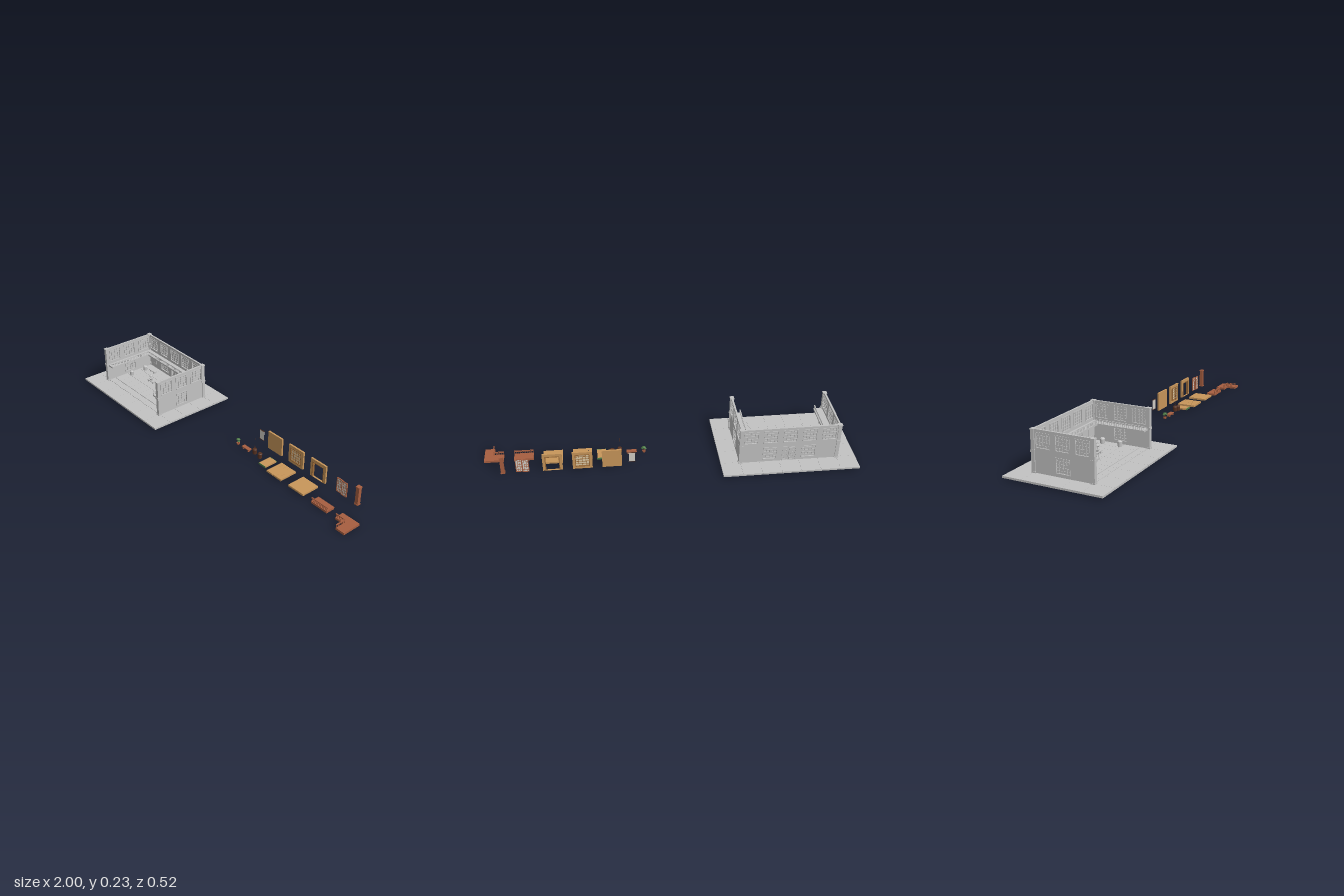
import * as THREE from 'three';

const T = 0.105; // module size of the building kit

function mat(name, color) {
  const m = new THREE.MeshStandardMaterial({ color });
  m.name = name;
  return m;
}

// y is the bottom of each solid
function box(parent, name, m, w, h, d, x, y, z) {
  const b = new THREE.Mesh(new THREE.BoxGeometry(w, h, d), m);
  b.name = name;
  b.position.set(x, y + h / 2, z);
  parent.add(b);
  return b;
}
function cyl(parent, name, m, r1, r2, h, x, y, z, n = 12) {
  const c = new THREE.Mesh(new THREE.CylinderGeometry(r1, r2, h, n), m);
  c.name = name;
  c.position.set(x, y + h / 2, z);
  parent.add(c);
  return c;
}
function part(parent, name, x, y, z, turn = 0) {
  const g = new THREE.Group();
  g.name = name;
  g.position.set(x, y, z);
  g.rotation.y = turn;
  parent.add(g);
  return g;
}

// Square wall panel with an optional rectangular hole [x0, y0, x1, y1]
function panel(parent, m, hole) {
  const s = new THREE.Shape();
  const a = T / 2;
  s.moveTo(-a, 0).lineTo(a, 0).lineTo(a, T).lineTo(-a, T).closePath();
  if (hole) {
    const [x0, y0, x1, y1] = hole;
    const p = new THREE.Path();
    p.moveTo(x0, y0).lineTo(x0, y1).lineTo(x1, y1).lineTo(x1, y0).closePath();
    s.holes.push(p);
  }
  const geo = new THREE.ExtrudeGeometry(s, { depth: 0.01, bevelEnabled: false });
  geo.translate(0, 0, -0.005);
  const w = new THREE.Mesh(geo, m);
  w.name = 'wallPanel';
  parent.add(w);
}

// Lattice of thin bars around a pane
function lattice(g, frame, pane, w, h, y, cols, rows, d) {
  const t = 0.004;
  box(g, 'pane', pane, w - t, h - t, 0.002, 0, y + t / 2, 0);
  for (const s of [-1, 1]) {
    box(g, 'frameSide', frame, t, h, d, s * (w - t) / 2, y, 0);
    box(g, 'frameRail', frame, w, t, d, 0, y + (s > 0 ? h - t : 0), 0);
  }
  for (let i = 1; i < cols; i++) box(g, 'latticeUpright', frame, 0.002, h - t, d * 0.55, -w / 2 + w * i / cols, y + t / 2, 0);
  for (let i = 1; i < rows; i++) box(g, 'latticeCross', frame, w - t, 0.002, d * 0.5, 0, y + h * i / rows - 0.001, 0);
}

function windowWall(g, p) {
  panel(g, p.wall, [-0.036, 0.017, 0.036, 0.089]);
  lattice(g, p.trim, p.pane, 0.077, 0.077, 0.0145, 4, 5, 0.015);
}
function doorWall(g, p) {
  panel(g, p.wall, [-0.037, 0.0005, 0.037, 0.088]);
  for (const s of [-1, 1]) box(g, 'doorJamb', p.trim, 0.004, 0.088, 0.014, s * 0.037, 0, 0);
  box(g, 'doorHead', p.trim, 0.078, 0.004, 0.014, 0, 0.086, 0);
}
function screen(g, p) {
  for (const s of [-1, 1]) lattice(part(g, 'screenLeaf', s * 0.0175, 0, s * 0.002), p.wood, p.paper, 0.036, 0.082, 0, 3, 5, 0.006);
}

function pillar(g, m) {
  box(g, 'pillarBase', m, 0.023, 0.006, 0.023, 0, 0, 0);
  box(g, 'pillarShaft', m, 0.019, 0.096, 0.019, 0, 0.005, 0);
  box(g, 'pillarCap', m, 0.023, 0.006, 0.023, 0, 0.1, 0);
}

function railing(g, m, len) {
  box(g, 'handrail', m, len, 0.003, 0.005, 0, 0.018, 0);
  box(g, 'middleRail', m, len, 0.002, 0.002, 0, 0.013, 0);
  const n = Math.round(len / 0.011);
  for (let i = 0; i <= n; i++) box(g, 'baluster', m, 0.002, 0.018, 0.002, (i / n - 0.5) * (len - 0.006), 0, 0);
}

function bench(g, m) {
  box(g, 'benchTop', m, 0.056, 0.004, 0.022, 0, 0.011, 0);
  for (const s of [-1, 1]) box(g, 'benchLeg', m, 0.004, 0.011, 0.018, s * 0.02, 0, 0);
}
function bonsai(g, p) {
  cyl(g, 'pot', p.wood, 0.01, 0.007, 0.011, 0, 0, 0);
  cyl(g, 'trunk', p.dark, 0.0015, 0.0025, 0.016, 0, 0.01, 0, 6);
  for (const [x, y, z, r] of [[0, 0.031, 0, 0.011], [0.008, 0.024, 0.004, 0.007], [-0.008, 0.025, -0.003, 0.007]]) {
    const leaf = new THREE.Mesh(new THREE.SphereGeometry(r, 10, 6), p.leaf);
    leaf.name = 'foliage';
    leaf.scale.y = 0.55;
    leaf.position.set(x, y, z);
    g.add(leaf);
  }
}
function lantern(g, p, hanging) {
  cyl(g, 'lanternFoot', p.dark, 0.01, 0.01, 0.004, 0, 0, 0);
  cyl(g, 'lanternBody', p.dark, 0.012, 0.012, 0.022, 0, 0.004, 0);
  cyl(g, 'lanternTop', p.dark, 0.009, 0.013, 0.005, 0, 0.026, 0);
  if (!hanging) return;
  for (const s of [-1, 1]) {
    box(g, 'lanternCord', p.dark, 0.0012, 0.022, 0.0012, 0, 0.029, s * 0.0045).rotation.x = -s * 0.4;
  }
  box(g, 'hangingCord', p.dark, 0.0012, 0.046, 0.0012, 0, 0.049, 0);
}
function scroll(g, p) {
  box(g, 'scrollSheet', p.paper, 0.032, 0.056, 0.002, 0, 0.003, 0);
  for (const y of [0, 0.057]) {
    const rod = cyl(g, 'scrollRod', p.dark, 0.002, 0.002, 0.038, 0, 0, 0, 8);
    rod.rotation.z = Math.PI / 2;
    rod.position.y = y + 0.002;
  }
}
function mattress(g, p) {
  box(g, 'matCore', p.wall, 0.048, 0.009, 0.078, 0, 0, 0);
  for (const s of [-1, 1]) box(g, 'matEdging', p.leaf, 0.052, 0.0094, 0.002, 0, 0, s * 0.039);
}

// Assembled hall: paved base, three walls, pillars, gallery and furniture
function buildHall(root, p) {
  const cx = -1 + 3.5 * T, base = 0.007, floor = 0.017;
  const hall = part(root, 'hall', cx, 0, 0);
  for (let i = -3; i <= 3; i++) for (let j = -2; j <= 2; j++) box(hall, 'pavingTile', p.wall, T - 0.0006, 0.01, T - 0.0006, i * T, base, j * T);
  const X = 2.5 * T, Z = 1.5 * T;
  for (let level = 0; level < 2; level++) {
    const y = floor + level * T;
    for (let i = -2; i <= 2; i++) {
      const g = part(hall, 'backWall', i * T, y, -Z);
      if (level === 1 || Math.abs(i) === 1) windowWall(g, p);
      else if (i === 0) {
        doorWall(g, p);
        screen(part(g, 'screenDoor', 0, 0.001, 0), p);
      } else panel(g, p.wall);
    }
    for (const s of [-1, 1]) {
      for (let j = -1; j <= 1; j++) {
        const g = part(hall, 'sideWall', s * X, y, j * T, Math.PI / 2);
        if (level === 1 || j === 0) windowWall(g, p);
        else panel(g, p.wall);
      }
      for (const z of [-Z, Z]) pillar(part(hall, 'cornerPillar', s * X, y, z), p.wood);
    }
  }
  // floorboards
  for (let i = 0; i < 10; i++) for (let j = 0; j < 3; j++) box(hall, 'floorMat', p.wall, 0.0495, 0.003, 0.0875, (i - 4.5) * 0.0502, floor, -0.106 + j * 0.0885);
  for (let i = 0; i < 10; i++) box(hall, 'stepBoard', p.wall, 0.0495, 0.0015, 0.034, (i - 4.5) * 0.0502, floor, 0.139);
  // gallery around three sides
  const gy = 0.114, gw = 0.053;
  box(hall, 'backGallery', p.wood, 2 * X - 0.01, 0.009, gw, 0, gy, -Z + gw / 2);
  railing(part(hall, 'backRailing', 0, gy + 0.009, -Z + gw - 0.004), p.wood, 2 * (X - gw));
  for (const s of [-1, 1]) {
    box(hall, 'sideGallery', p.wood, gw, 0.009, 2 * Z - gw, s * (X - gw / 2), gy, gw / 2);
    railing(part(hall, 'sideRailing', s * (X - gw + 0.004), gy + 0.009, gw / 2, Math.PI / 2), p.wood, 2 * Z - gw);
  }
  // furniture
  const fy = floor + 0.003;
  for (const s of [-1, 1]) {
    bench(part(hall, 'bench', s * 0.065, fy, -0.02), p.wood);
    bench(part(hall, 'bench', s * 0.16, fy, -0.1), p.wood);
    lantern(part(hall, 'lantern', s * 0.215, fy, 0.02), p, true);
    lantern(part(hall, 'lantern', s * 0.215, fy, -0.08), p, false);
    bonsai(part(hall, 'bonsai', s * 0.065, fy + 0.015, -0.02), p);
    scroll(part(hall, 'scroll', s * 0.21, 0.045, -Z + 0.008), p);
  }
}

// Separate coloured pieces laid out in two rows
function buildPieces(root, p) {
  const kit = part(root, 'loosePieces', 0, 0, 0);
  const z = -T, y = 0.008;
  bonsai(part(kit, 'bonsai', 0.135, y, 0), p);
  bench(part(kit, 'bench', 0.203, y, 0), p.wood);
  scroll(part(kit, 'scroll', 0.207, 0.029, z), p);
  lantern(part(kit, 'hangingLantern', 0.267, 0.018, 0), p, true);
  lantern(part(kit, 'standingLantern', 0.308, 0.012, 0), p, false);
  panel(part(kit, 'plainWall', 0.313, y, z), p.wall);
  windowWall(part(kit, 'windowWall', 0.47, y, z), p);
  doorWall(part(kit, 'doorWall', 0.628, y, z), p);
  screen(part(kit, 'screenDoor', 0.787, y, z), p);
  pillar(part(kit, 'pillar', 0.891, y, z), p.wood);
  mattress(part(kit, 'floorMat', 0.366, y, -0.002), p);
  for (let i = 0; i < 5; i++) box(kit, 'plank', p.wall, 0.0205, 0.01, T, 0.47 + (i - 2) * 0.021, y, 0);
  box(kit, 'floorTile', p.wall, T, 0.01, T, 0.628, y, 0);
  // straight gallery and corner gallery
  box(kit, 'straightGallery', p.wood, T, 0.012, 0.0525, 0.787, 0, 0.026);
  railing(part(kit, 'straightRailing', 0.787, 0.012, 0.048), p.wood, T);
  box(kit, 'cornerGalleryBack', p.wood, T, 0.012, 0.0525, 0.9475, 0, 0.026);
  box(kit, 'cornerGalleryArm', p.wood, 0.0525, 0.012, 0.0535, 0.97375, 0, 0.079);
  railing(part(kit, 'cornerRailing', 0.922, 0.012, 0.048), p.wood, 0.057);
  railing(part(kit, 'cornerRailing', 0.951, 0.012, 0.077, Math.PI / 2), p.wood, 0.06);
}

export function createModel() {
  const root = new THREE.Group();
  root.name = 'modularHall';
  const grey = mat('stoneGrey', 0xc2c2c2);
  const stone = { wall: grey, trim: grey, pane: grey, wood: grey, dark: grey, leaf: grey, paper: grey };
  const colours = {
    wall: mat('honeyWood', 0xc8965a),
    trim: mat('trimWood', 0x9a6a38),
    pane: mat('paleWood', 0xdcc8a4),
    wood: mat('redWood', 0xa65e40),
    dark: mat('darkWood', 0x55301f),
    leaf: mat('leafGreen', 0x4f7d48),
    paper: mat('paper', 0xd2cec6),
  };
  buildHall(root, stone);
  buildPieces(root, colours);
  return root;
}
